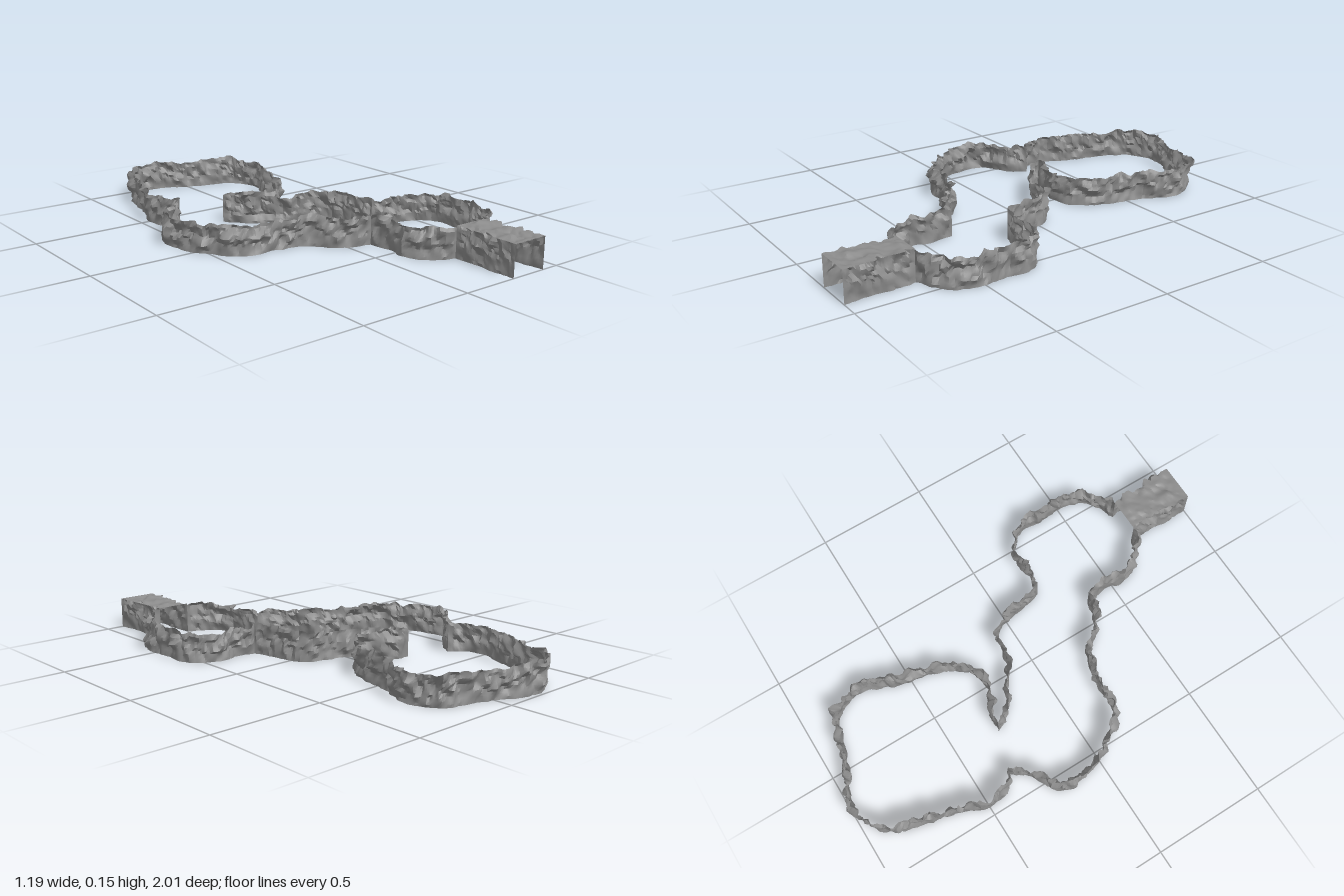
import * as THREE from 'three';
import { toCreasedNormals } from 'three/addons/utils/BufferGeometryUtils.js';

const rock = new THREE.MeshStandardMaterial({ color: 0x8c8c8c, side: THREE.DoubleSide });

// Smooth repeatable 3D noise in -1..1
const hash = (i, j, k) => {
  const s = Math.sin(i * 127.1 + j * 311.7 + k * 74.7) * 43758.5453;
  return (s - Math.floor(s)) * 2 - 1;
};
function noise(x, y, z) {
  const c = [x, y, z].map(Math.floor);
  const [u, v, w] = [x, y, z].map((t, i) => { const f = t - c[i]; return f * f * (3 - 2 * f); });
  let sum = 0;
  for (let n = 0; n < 8; n++) {
    const a = n & 1, b = (n >> 1) & 1, d = n >> 2;
    sum += hash(c[0] + a, c[1] + b, c[2] + d) * (a ? u : 1 - u) * (b ? v : 1 - v) * (d ? w : 1 - w);
  }
  return sum;
}
const rough = (p) => noise(p.x * 26, p.y * 26, p.z * 26) + 0.6 * noise(p.x * 60, p.y * 60, p.z * 60);

// Grid surface from a point function
function sheet(name, cols, rows, pointAt) {
  const pos = [], index = [];
  for (let i = 0; i <= cols; i++) {
    for (let j = 0; j <= rows; j++) {
      pos.push(...pointAt(i / cols, j / rows).toArray());
      if (i < cols && j < rows) {
        const a = i * (rows + 1) + j, b = a + rows + 1;
        index.push(a, b, a + 1, b, b + 1, a + 1);
      }
    }
  }
  const geo = new THREE.BufferGeometry();
  geo.setAttribute('position', new THREE.Float32BufferAttribute(pos, 3));
  geo.setIndex(index);
  const mesh = new THREE.Mesh(toCreasedNormals(geo, 0.6), rock);
  mesh.name = name;
  return mesh;
}

// Upright rock wall following a plan outline of [x, z] points
function wall(name, plan) {
  const curve = new THREE.CatmullRomCurve3(plan.map(([x, z]) => new THREE.Vector3(x, 0, z)));
  const length = curve.getLength();
  return sheet(name, Math.ceil(length / 0.011), 10, (u, v) => {
    const p = curve.getPointAt(u), t = curve.getTangentAt(u);
    const fade = Math.min(1, Math.min(u, 1 - u) * length / 0.025);
    const top = 0.128 + 0.02 * noise(p.x * 28, 7.5, p.z * 28) + 0.006 * noise(p.x * 70, 3.5, p.z * 70);
    p.y = v * top;
    const push = 0.023 * rough(p) * fade * (0.3 + 0.7 * Math.sin(Math.min(1, v * 1.6) * Math.PI / 2));
    p.x -= t.z * push;
    p.z += t.x * push;
    return p;
  });
}

export function createModel() {
  const cave = new THREE.Group();
  cave.name = 'caveWalls';

  // Cave outline, split at its sharp corners
  cave.add(wall('frontChamberRightWall', [
    [0.25, 0.7], [0.19, 0.68], [0.12, 0.61], [0.1, 0.55], [0.11, 0.45], [0.1, 0.36],
  ]));
  cave.add(wall('middleChamberRightWall', [
    [0.1, 0.36], [0, 0.34], [-0.07, 0.29], [-0.11, 0.23], [-0.25, 0.18], [-0.37, 0.18], [-0.44, 0.14],
    [-0.49, 0.07], [-0.55, -0.02], [-0.57, -0.13], [-0.56, -0.21], [-0.49, -0.26], [-0.43, -0.3], [-0.385, -0.36],
  ]));
  cave.add(wall('backChamberWall', [
    [-0.385, -0.36], [-0.44, -0.4], [-0.46, -0.5], [-0.42, -0.61], [-0.39, -0.71], [-0.35, -0.86],
    [-0.29, -0.945], [-0.19, -0.987], [-0.08, -0.96], [0, -0.92], [0.2, -0.86], [0.26, -0.79], [0.272, -0.7],
    [0.23, -0.61], [0.2, -0.5], [0.15, -0.34], [0.09, -0.26], [0, -0.23], [-0.07, -0.25], [-0.13, -0.285], [-0.2, -0.295],
  ]));
  cave.add(wall('middleChamberLeftWall', [
    [-0.2, -0.295], [-0.14, -0.215], [-0.05, -0.155], [0.055, -0.1], [0.16, -0.075], [0.21, -0.01],
    [0.225, 0.08], [0.255, 0.19],
  ]));
  cave.add(wall('frontChamberLeftWall', [
    [0.255, 0.19], [0.35, 0.205], [0.43, 0.195], [0.515, 0.23], [0.567, 0.32], [0.557, 0.4],
    [0.567, 0.515], [0.54, 0.61], [0.46, 0.675], [0.4, 0.7],
  ]));

  // Entrance tunnel: two walls and a roof in one folded sheet, open below
  cave.add(sheet('entranceTunnel', 28, 34, (u, v) => {
    const s = v * 34, right = 0.4 + 0.02 * u, h = 0.137;
    const p = new THREE.Vector3(0.25, h, 0.7 + 0.3 * u);
    const side = s <= 10 ? -1 : s >= 24 ? 1 : 0;
    if (side) {
      p.x = side < 0 ? 0.25 : right;
      p.y = h * (side < 0 ? s : 34 - s) / 10;
    } else p.x = THREE.MathUtils.lerp(0.25, right, (s - 10) / 14);
    const n = rough(p) * Math.min(1, u * 12, (1 - u) * 12);
    const lift = p.y / h;
    if (side) p.x += side * 0.026 * n * (0.3 + 0.7 * lift);
    if (lift > 0.99) p.y += 0.009 * n;
    return p;
  }));
  return cave;
}
